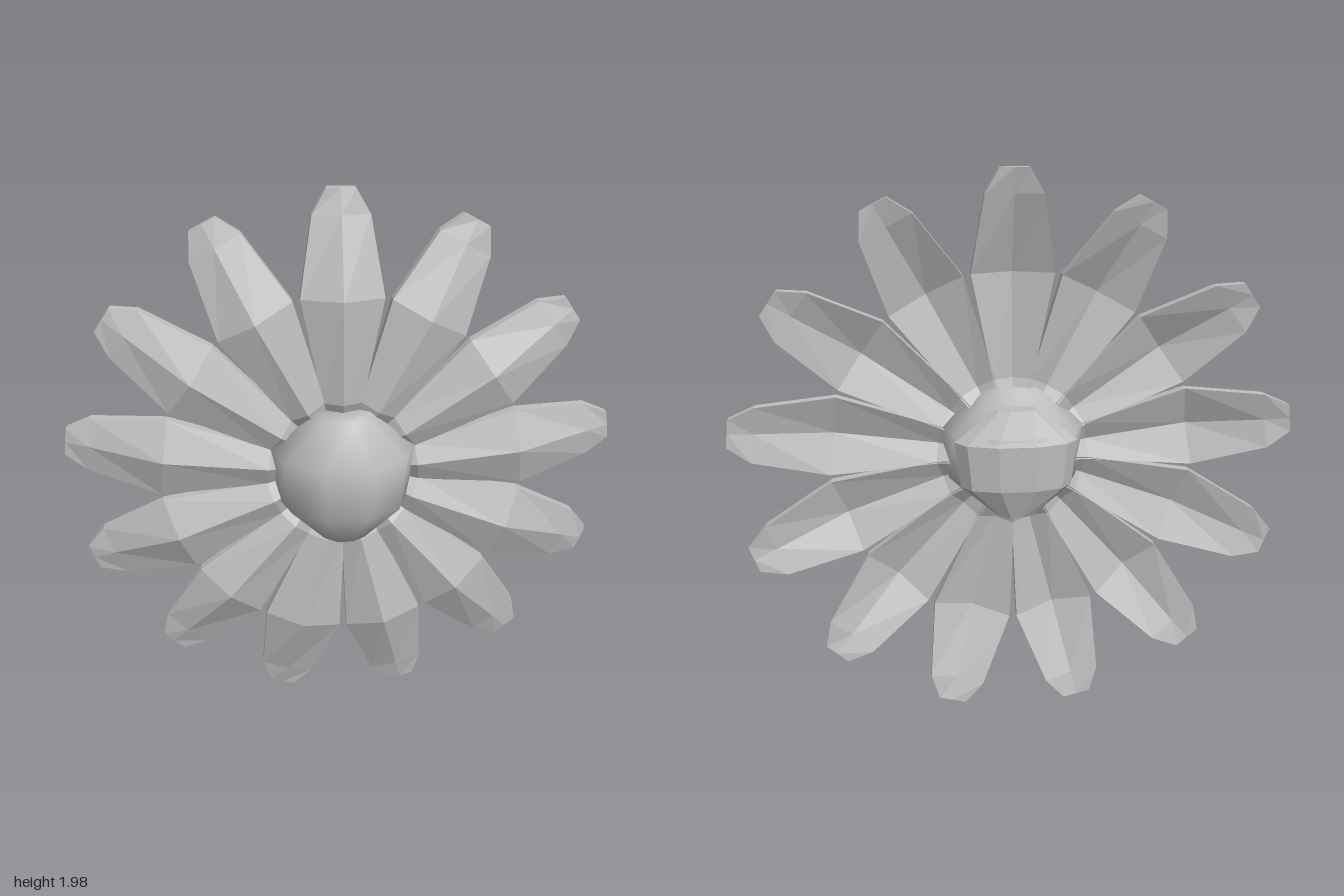
import * as THREE from 'three';

const CENTER_Y = 0.984;
const PETALS = 13;

// Closed loft through rings of [x, y, z] points, counter-clockwise about the loft direction
function loft(rings, smooth) {
  const n = rings[0].length;
  const last = (rings.length - 1) * n;
  const index = [];
  for (let i = 0; i < rings.length - 1; i++) {
    for (let j = 0; j < n; j++) {
      const k = (j + 1) % n;
      const a = i * n + j, b = i * n + k, c = b + n, d = a + n;
      index.push(a, b, c, a, c, d);
    }
  }
  for (let j = 1; j < n - 1; j++) {
    index.push(0, j + 1, j);
    index.push(last, last + j, last + j + 1);
  }
  let g = new THREE.BufferGeometry();
  g.setAttribute('position', new THREE.Float32BufferAttribute(rings.flat(2), 3));
  g.setIndex(index);
  if (!smooth) g = g.toNonIndexed();
  g.computeVertexNormals();
  return g;
}

// Ten-sided elliptical ring: height, half width, half depth, depth centre
function ring([y, rx, rz, cz]) {
  return Array.from({ length: 10 }, (_, i) => {
    const a = (i / 10) * Math.PI * 2;
    return [rx * Math.cos(a), y, cz - rz * Math.sin(a)];
  });
}

// Folded petal section: ridge in the middle, edges swept back, constant thickness
function petalSection([r, w, ridge, edge, t]) {
  return [
    [0, r, ridge], [w, r, edge], [w, r, edge - t],
    [0, r, ridge - t], [-w, r, edge - t], [-w, r, edge],
  ];
}

export function createModel() {
  const group = new THREE.Group();
  group.name = 'flower';

  const grey = new THREE.MeshStandardMaterial({ color: 0xbfbfbf });
  grey.name = 'plain grey';

  // Petals fanned around the centre
  const petalGeometry = loft([
    [0.06, 0.02, -0.06, -0.075, 0.03],
    [0.16, 0.045, -0.015, -0.035, 0.035],
    [0.27, 0.07, 0.038, 0.005, 0.04],
    [0.645, 0.145, 0.053, 0.0, 0.04],
    [0.915, 0.1, -0.045, -0.065, 0.04],
    [1.001, 0.05, -0.072, -0.074, 0.036],
  ].map(petalSection), false);
  for (let i = 0; i < PETALS; i++) {
    const petal = new THREE.Mesh(petalGeometry, grey);
    petal.name = 'petal' + (i + 1);
    petal.position.y = CENTER_Y;
    petal.rotation.z = -(i / PETALS) * Math.PI * 2;
    group.add(petal);
  }

  // Rounded flower centre at the front
  const dome = new THREE.Mesh(loft([
    [0.753, 0.09, 0.09, 0.025],
    [0.885, 0.237, 0.215, 0.0],
    [1.085, 0.262, 0.24, 0.0],
    [1.223, 0.097, 0.095, 0.025],
  ].map(ring), true), grey);
  dome.name = 'flowerCentre';
  group.add(dome);

  // Faceted base at the back
  const base = new THREE.Mesh(loft([
    [0.79, 0.07, 0.04, -0.15],
    [0.9, 0.195, 0.077, -0.155],
    [1.065, 0.215, 0.084, -0.155],
    [1.18, 0.075, 0.04, -0.15],
  ].map(ring), false), grey);
  base.name = 'backBase';
  group.add(base);

  return group;
}
